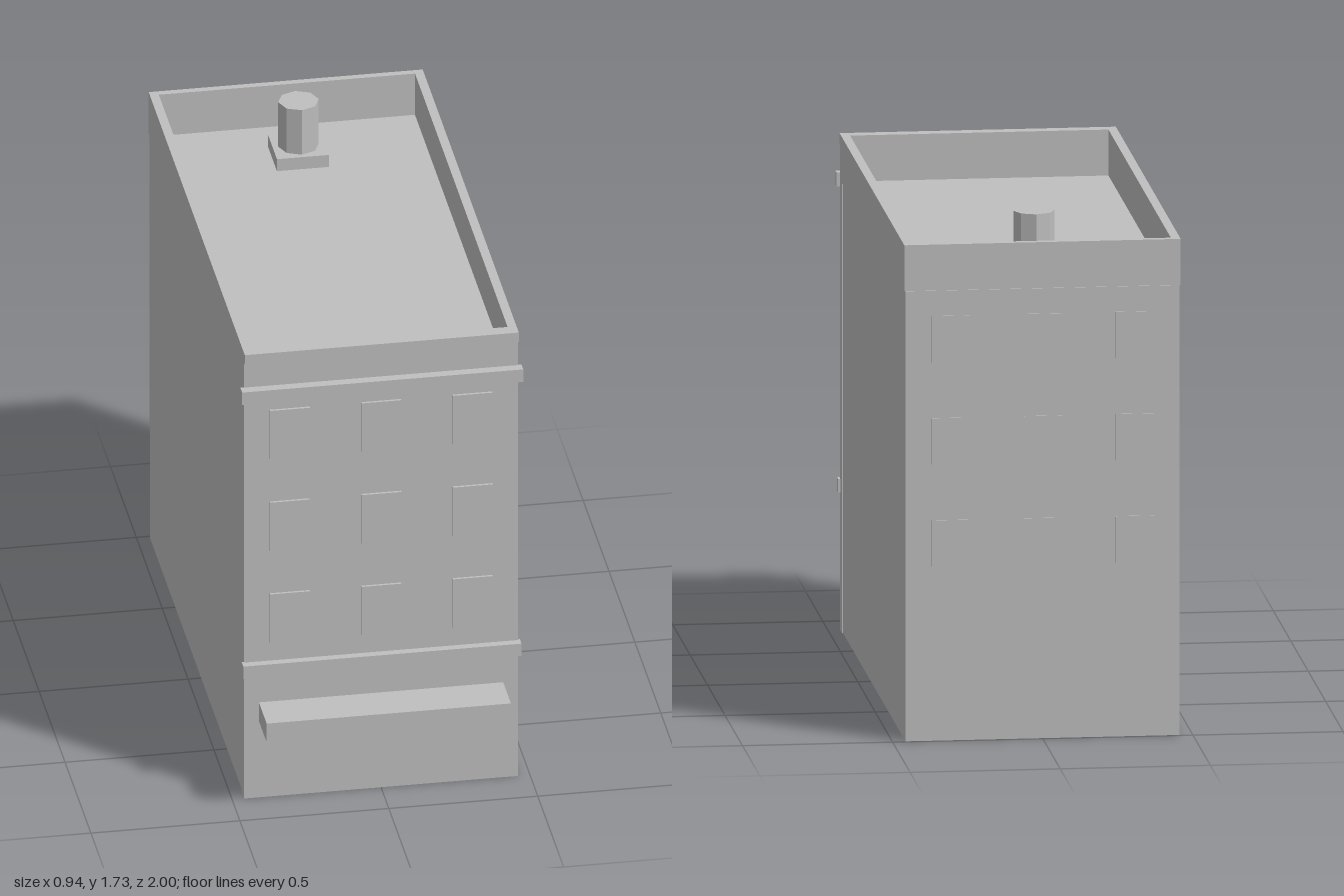
import * as THREE from 'three';

export function createModel() {
  const model = new THREE.Group();
  model.name = 'townBuilding';
  const stone = new THREE.MeshStandardMaterial({ color: 0xbfbfbf });
  stone.name = 'plainGrey';

  // Box given by its minimum and maximum on each axis
  function block(name, [x0, x1], [y0, y1], [z0, z1], parent = model) {
    const mesh = new THREE.Mesh(new THREE.BoxGeometry(x1 - x0, y1 - y0, z1 - z0), stone);
    mesh.position.set((x0 + x1) / 2, (y0 + y1) / 2, (z0 + z1) / 2);
    mesh.name = name;
    parent.add(mesh);
    return mesh;
  }

  const W = 0.46, TOP = 1.675, ROOF = 1.52, BACK = -0.992, FRONT = 0.85;

  // Main body, its top being the sunken roof, and the slightly wider facade
  block('body', [-0.456, 0.456], [0, ROOF], [BACK, 0.8]);
  block('facade', [-W, W], [0, ROOF], [0.8, FRONT]);
  block('backWall', [-0.456, 0.456], [0.42, ROOF], [-0.996, BACK]);

  // Parapet: an outline with a hole, raised around the roof
  const outline = new THREE.Shape([
    new THREE.Vector2(-W, -FRONT), new THREE.Vector2(W, -FRONT),
    new THREE.Vector2(W, -BACK), new THREE.Vector2(-W, -BACK),
  ]);
  outline.holes.push(new THREE.Path([
    new THREE.Vector2(-0.43, -0.82), new THREE.Vector2(-0.43, 0.968),
    new THREE.Vector2(0.43, 0.968), new THREE.Vector2(0.43, -0.82),
  ]));
  const parapetGeometry = new THREE.ExtrudeGeometry(outline, { depth: TOP - ROOF, bevelEnabled: false });
  parapetGeometry.rotateX(-Math.PI / 2);
  const parapet = new THREE.Mesh(parapetGeometry, stone);
  parapet.position.y = ROOF;
  parapet.name = 'parapet';
  model.add(parapet);

  // Front mouldings, shop front and awning
  block('parapetLip', [-W, W], [1.64, TOP], [FRONT, 0.865]);
  block('cornice', [-0.472, 0.472], [1.498, 1.545], [0.848, 0.883]);
  block('beltCourse', [-0.467, 0.467], [0.465, 0.511], [0.845, 0.877]);
  block('shopFront', [-0.41, 0.41], [0.01, 0.3], [FRONT, 0.856]);
  block('awning', [-0.41, 0.41], [0.287, 0.357], [FRONT, 1]);

  // Three floors of three windows, front and back
  const windows = new THREE.Group();
  windows.name = 'windows';
  model.add(windows);
  for (const y of [0.672, 1.017, 1.362]) {
    for (const x of [-0.307, 0, 0.307]) {
      block('frontWindow', [x - 0.067, x + 0.067], [y - 0.092, y + 0.092], [FRONT, 0.859], windows);
      block('backWindow', [x - 0.064, x + 0.064], [y - 0.083, y + 0.073], [-1, -0.996], windows);
    }
  }

  // Roof vent: square base with an eight-sided pipe
  block('ventBase', [-0.087, 0.087], [ROOF, 1.565], [-0.83, -0.66]);
  const pipeGeometry = new THREE.CylinderGeometry(0.068, 0.068, 0.168, 8).toNonIndexed();
  pipeGeometry.computeVertexNormals();
  const pipe = new THREE.Mesh(pipeGeometry, stone);
  pipe.position.set(0, 1.648, -0.745);
  pipe.name = 'ventPipe';
  model.add(pipe);

  return model;
}
